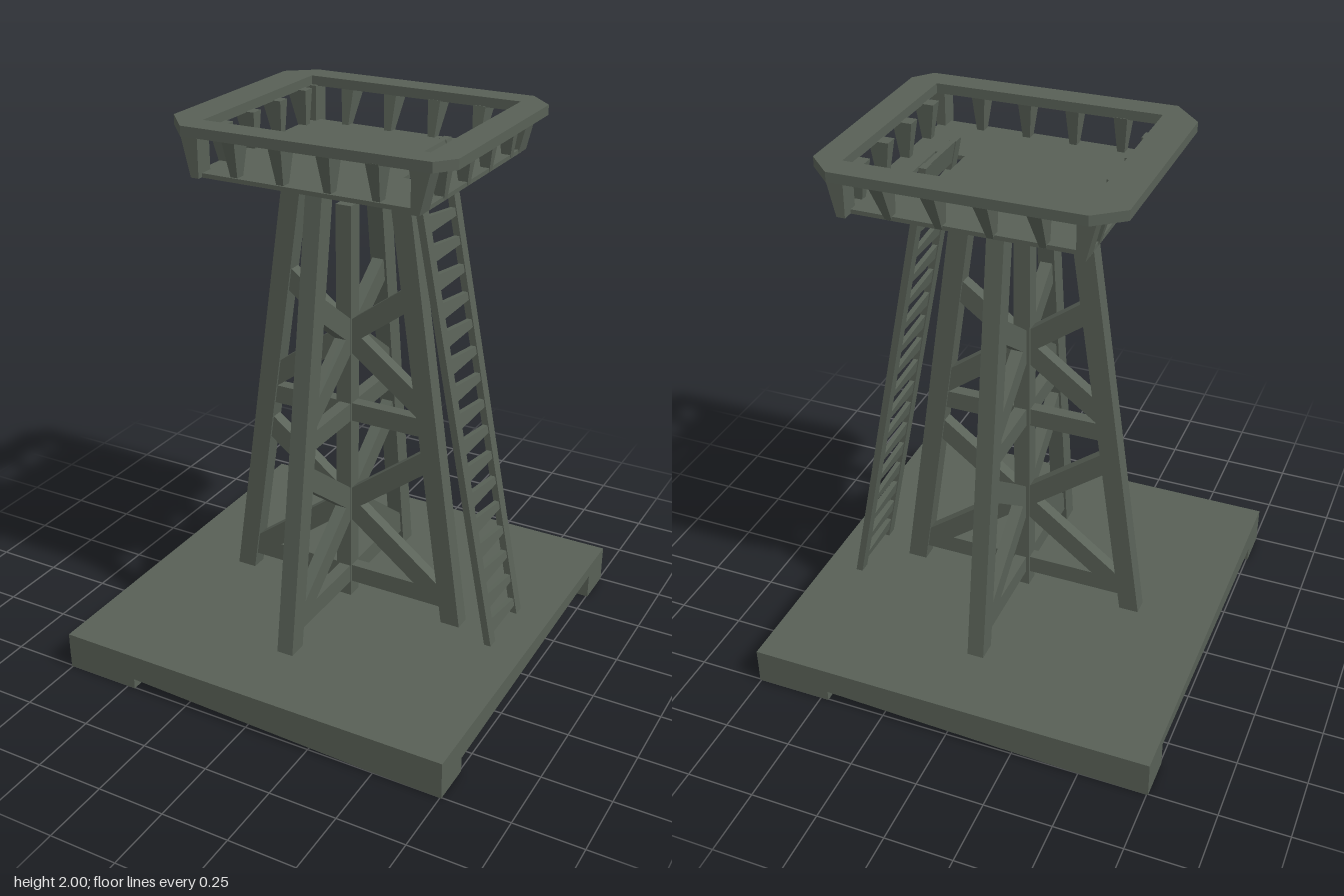
import * as THREE from 'three';

const steel = new THREE.MeshStandardMaterial({ color: 0x586056 });
steel.name = 'grey green steel';

function add(parent, name, geometry) {
  const mesh = new THREE.Mesh(geometry, steel);
  mesh.name = name;
  parent.add(mesh);
  return mesh;
}

// Box whose bottom and top rectangles [x0, x1, z0, z1] may differ
function taper(y0, y1, bottom, top) {
  const g = new THREE.BoxGeometry(1, 1, 1);
  const p = g.attributes.position;
  for (let i = 0; i < p.count; i++) {
    const r = p.getY(i) > 0 ? top : bottom;
    p.setXYZ(i, p.getX(i) > 0 ? r[1] : r[0], p.getY(i) > 0 ? y1 : y0, p.getZ(i) > 0 ? r[3] : r[2]);
  }
  g.computeVertexNormals();
  return g;
}

const polygon = (points) => new THREE.Shape(points.map(([x, y]) => new THREE.Vector2(x, y)));
const extrude = (shape, depth) => new THREE.ExtrudeGeometry(shape, { depth, bevelEnabled: false });

// Beam in the xy plane
function beam(parent, name, x0, y0, x1, y1, width, depth) {
  const m = add(parent, name, new THREE.BoxGeometry(Math.hypot(x1 - x0, y1 - y0), width, depth));
  m.position.set((x0 + x1) / 2, (y0 + y1) / 2, 0);
  m.rotation.z = Math.atan2(y1 - y0, x1 - x0);
}

function makeBase() {
  const base = new THREE.Group();
  base.name = 'base';
  // slab with a sloping underside
  const slab = add(base, 'slab', extrude(polygon([[-0.755, 0.05], [0.755, 0.1], [0.755, 0.14], [-0.755, 0.14]]), 1.51));
  slab.rotation.y = Math.PI / 2;
  slab.position.x = -0.755;
  // front and back skirts with a foot at one end
  for (const turn of [0, Math.PI]) {
    const side = new THREE.Group();
    side.name = turn ? 'backSkirt' : 'frontSkirt';
    const skirt = add(side, 'skirt', extrude(polygon([
      [-0.755, 0], [-0.47, 0], [-0.47, 0.04], [0.47, 0.005], [0.755, 0], [0.755, 0.139], [-0.755, 0.139]]), 0.154));
    skirt.position.z = 0.6;
    side.rotation.y = turn;
    base.add(side);
  }
  return base;
}

// One pair of leaning legs with crossbars and diagonals
function makeFrame(name) {
  const frame = new THREE.Group();
  frame.name = name;
  for (const s of [-1, 1]) {
    const at = (c) => [s * c - 0.037, s * c + 0.037, -0.031, 0.031];
    add(frame, 'leg', taper(0.13, 1.79, at(0.443), at(0.202)));
    beam(frame, 'lowerDiagonal', s * 0.4, 0.23, -s * 0.33, 0.79, 0.075, 0.045);
    beam(frame, 'upperDiagonal', s * 0.31, 0.98, -s * 0.24, 1.39, 0.075, 0.045);
  }
  beam(frame, 'lowerCrossbar', -0.41, 0.235, 0.41, 0.235, 0.07, 0.045);
  beam(frame, 'upperCrossbar', -0.32, 0.915, 0.32, 0.915, 0.07, 0.045);
  return frame;
}

function makeLadder() {
  const ladder = new THREE.Group();
  ladder.name = 'ladder';
  const xAt = (y) => 0.617 - (y - 0.14) * 0.195;
  for (const [z0, z1] of [[0.042, 0.085], [-0.197, -0.155]]) {
    const at = (y) => [xAt(y) - 0.013, xAt(y) + 0.013, z0, z1];
    add(ladder, 'rail', taper(0.13, 1.91, at(0.13), at(1.91)));
  }
  // wedge-shaped rungs, thinner toward the back
  for (let i = 0; i < 17; i++) {
    const y = 0.2 + i * 0.0985;
    const g = new THREE.BoxGeometry(0.018, 0.055, 0.2);
    const p = g.attributes.position;
    for (let k = 0; k < p.count; k++) {
      if (p.getZ(k) < 0) p.setY(k, p.getY(k) * 0.5 - 0.012);
      p.setX(k, p.getX(k) - p.getY(k) * 0.195);
    }
    g.computeVertexNormals();
    add(ladder, 'rung', g).position.set(xAt(y), y, -0.057);
  }
  // plate at the ladder head
  const head = (y) => [xAt(y) - 0.01, xAt(y) + 0.01, -0.197, 0.085];
  add(ladder, 'headPlate', taper(1.83, 1.91, head(1.83), head(1.91)));
  return ladder;
}

function makePlatform() {
  const platform = new THREE.Group();
  platform.name = 'platform';
  // shapes are drawn with y = -z, then laid flat
  const flat = (name, outer, hole, y, depth) => {
    const shape = polygon(outer.map(([x, z]) => [x, -z]));
    shape.holes.push(polygon(hole.map(([x, z]) => [x, -z])));
    const m = add(platform, name, extrude(shape, depth));
    m.rotation.x = -Math.PI / 2;
    m.position.y = y;
  };
  flat('floor', [[-0.38, 0.36], [0.45, 0.36], [0.45, -0.42], [-0.38, -0.42]],
    [[0.25, 0.09], [0.36, 0.09], [0.36, -0.2], [0.25, -0.2]], 1.824, 0.015);
  flat('rim', [[-0.4, 0.4], [0.49, 0.38], [0.545, 0.31], [0.54, -0.42], [0.45, -0.51], [-0.4, -0.5], [-0.5, -0.42], [-0.5, 0.29]],
    [[-0.375, 0.305], [0.44, 0.29], [0.44, -0.415], [-0.375, -0.405]], 1.965, 0.035);

  // brackets flare outward from the floor edge to the rim
  const w0 = 0.012, w1 = 0.024;
  for (let i = 0; i < 4; i++) {
    const x = -0.23 + i * 0.173;
    const z = -0.33 + i * 0.175;
    add(platform, 'frontBracket', taper(1.825, 1.968, [x - w0, x + w0, 0.32, 0.35], [x - w1, x + w1, 0.3, 0.385]));
    add(platform, 'backBracket', taper(1.825, 1.968, [x - w0, x + w0, -0.42, -0.39], [x - w1, x + w1, -0.5, -0.41]));
    add(platform, 'leftBracket', taper(1.825, 1.968, [0.42, 0.45, z - w0, z + w0], [0.4, 0.47, z - w1, z + w1]));
    add(platform, 'rightBracket', taper(1.825, 1.968, [-0.38, -0.35, z - w0, z + w0], [-0.42, -0.345, z - w1, z + w1]));
  }
  // corner posts
  for (const [x, sx] of [[-0.38, -1], [0.45, 1]]) {
    for (const [z, sz] of [[0.38, 1], [-0.46, -1]]) {
      const rect = (out, inn) => {
        const a = x + sx * out, b = x - sx * inn, c = z, d = z - sz * 0.07;
        return [Math.min(a, b), Math.max(a, b), Math.min(c, d), Math.max(c, d)];
      };
      add(platform, 'cornerPost', taper(1.825, 1.968, rect(0, 0.03), rect(0.035, 0.03)));
    }
  }
  return platform;
}

export function createModel() {
  const tower = new THREE.Group();
  tower.name = 'watchtower';
  tower.add(makeBase());
  const side = makeFrame('sideFrame');
  const front = makeFrame('frontBackFrame');
  front.rotation.y = Math.PI / 2;
  tower.add(side, front);
  // centre post
  const post = [-0.035, 0.025, -0.03, 0.03];
  add(tower, 'centrePost', taper(0.13, 1.69, post, post));
  tower.add(makeLadder(), makePlatform());
  return tower;
}
